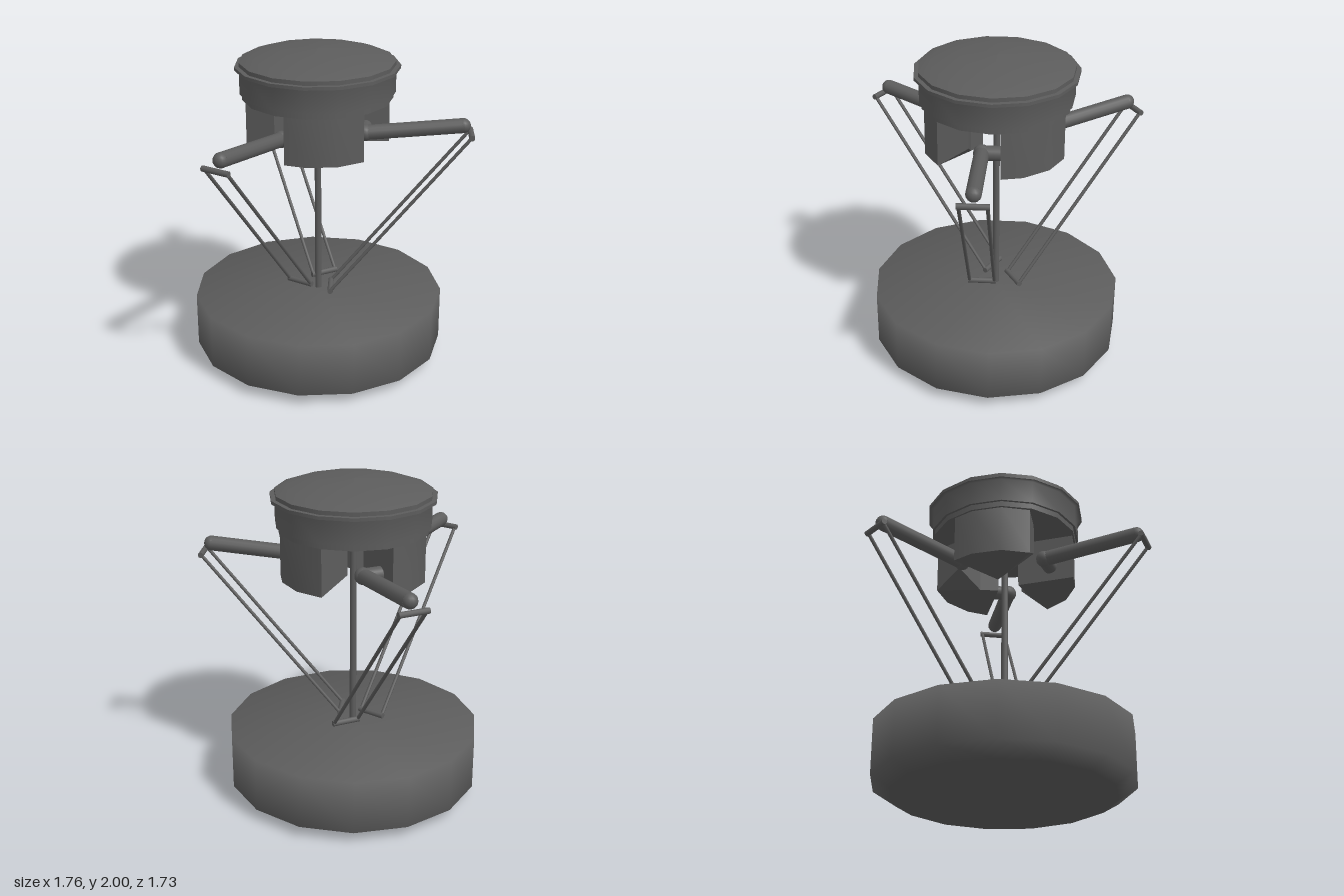
import * as THREE from 'three';
import { toCreasedNormals } from 'three/addons/utils/BufferGeometryUtils.js';

const SIDES = 15;

export function createModel() {
  const model = new THREE.Group();
  const grey = new THREE.MeshStandardMaterial({ color: 0x5c5c5c });
  grey.name = 'dark grey';
  const V = (x, y, z) => new THREE.Vector3(x, y, z);

  const add = (parent, name, geometry) => {
    const mesh = new THREE.Mesh(geometry, grey);
    mesh.name = name;
    parent.add(mesh);
    return mesh;
  };

  // Turned part with a corner pointing to -x
  const turned = (name, profile) =>
    add(body, name, new THREE.LatheGeometry(
      profile.map(([r, y]) => new THREE.Vector2(r, y)), SIDES, -Math.PI / 2));

  // Round bar between two points
  const bar = (parent, name, a, b, radius, sides = 10) => {
    const dir = b.clone().sub(a);
    const mesh = add(parent, name, new THREE.CylinderGeometry(radius, radius, dir.length(), sides));
    mesh.position.copy(a).add(b).multiplyScalar(0.5);
    mesh.quaternion.setFromUnitVectors(V(0, 1, 0), dir.normalize());
    return mesh;
  };

  const ball = (parent, name, p, radius) =>
    add(parent, name, new THREE.SphereGeometry(radius, 14, 10)).position.copy(p);

  // The machine's axis is off the origin
  const body = new THREE.Group();
  body.name = 'deltaRobot';
  body.position.set(-0.085, 0, -0.05);
  model.add(body);

  // Work table
  turned('workTable', [[0, 0], [0.675, 0], [0.79, 0.07], [0.79, 0.41], [0, 0.41]]);

  // Head: stepped drum, flange and domed lid
  turned('headUnderside', [[0, 1.7], [0.46, 1.7]]);
  turned('headStep', [[0.46, 1.7], [0.46, 1.735]]);
  turned('drumUnderside', [[0.46, 1.735], [0.475, 1.735]]);
  turned('drum', [[0.475, 1.735], [0.475, 1.885], [0.503, 1.885]]);
  turned('flange', [[0.503, 1.885], [0.503, 1.905]]);
  turned('flangeTop', [[0.503, 1.905], [0.475, 1.905]]);
  turned('lidEdge', [[0.475, 1.905], [0.475, 1.93]]);
  turned('lid', [[0.475, 1.93], [0.4, 1.957], [0.22, 1.988], [0, 2]]);

  // Central shaft
  bar(body, 'centreShaft', V(0, 0.41, 0), V(0, 1.7, 0), 0.021, 12);

  // Housing block between two neighbouring arms, in plan
  const polar = (deg, r = 0.447) =>
    new THREE.Vector2(r * Math.cos(deg * Math.PI / 180), r * Math.sin(deg * Math.PI / 180));
  const plan = [polar(49, 0.44), polar(72), polar(96), polar(113.6, 0.442),
    new THREE.Vector2(-0.014, 0.084), new THREE.Vector2(0.08, 0.15), new THREE.Vector2(0.25, 0.15)];
  let housing = new THREE.ExtrudeGeometry(new THREE.Shape(plan), { depth: 0.3, bevelEnabled: false });
  housing.rotateX(Math.PI / 2).translate(0, 1.7, 0);
  // Lift the inner lower corner so the underside slopes toward the arm slot
  const pos = housing.attributes.position;
  for (let i = 0; i < pos.count; i++) {
    const nearCorner = Math.hypot(pos.getX(i) - 0.25, pos.getZ(i) - 0.15) < 0.01;
    if (nearCorner && pos.getY(i) < 1.45) pos.setY(i, 1.5);
  }
  housing = toCreasedNormals(housing, 0.6);

  // Three arms: local x runs outward, local z is the sideways offset
  const offset = 0.07, footOffset = 0.085;
  for (let k = 0; k < 3; k++) {
    const arm = new THREE.Group();
    arm.name = 'arm' + (k + 1);
    arm.rotation.y = -(-12 + 120 * k) * Math.PI / 180;
    body.add(arm);

    add(arm, 'housingBlock', housing);

    // Upper arm with shoulder hub and rounded ends
    const shoulder = V(0.29, 1.495, offset), elbow = V(0.885, 1.548, offset);
    bar(arm, 'shoulderAxle', V(0.29, 1.495, -0.07), shoulder, 0.045, 14);
    ball(arm, 'shoulderHub', shoulder, 0.052);
    bar(arm, 'upperArm', shoulder, elbow, 0.046, 14);
    ball(arm, 'upperArmEnd', elbow, 0.046);

    // Elbow and foot crossbars
    bar(arm, 'elbowBar', V(0.935, 1.497, offset - 0.093), V(0.935, 1.497, offset + 0.093), 0.018);
    bar(arm, 'footBar', V(0.083, 0.462, footOffset - 0.09), V(0.083, 0.462, footOffset + 0.09), 0.018);

    // Pair of parallel lower rods
    for (const s of [-0.08, 0.08])
      bar(arm, 'lowerRod', V(0.935, 1.497, offset + s), V(0.083, 0.462, footOffset + s), 0.011, 8);
  }
  return model;
}
